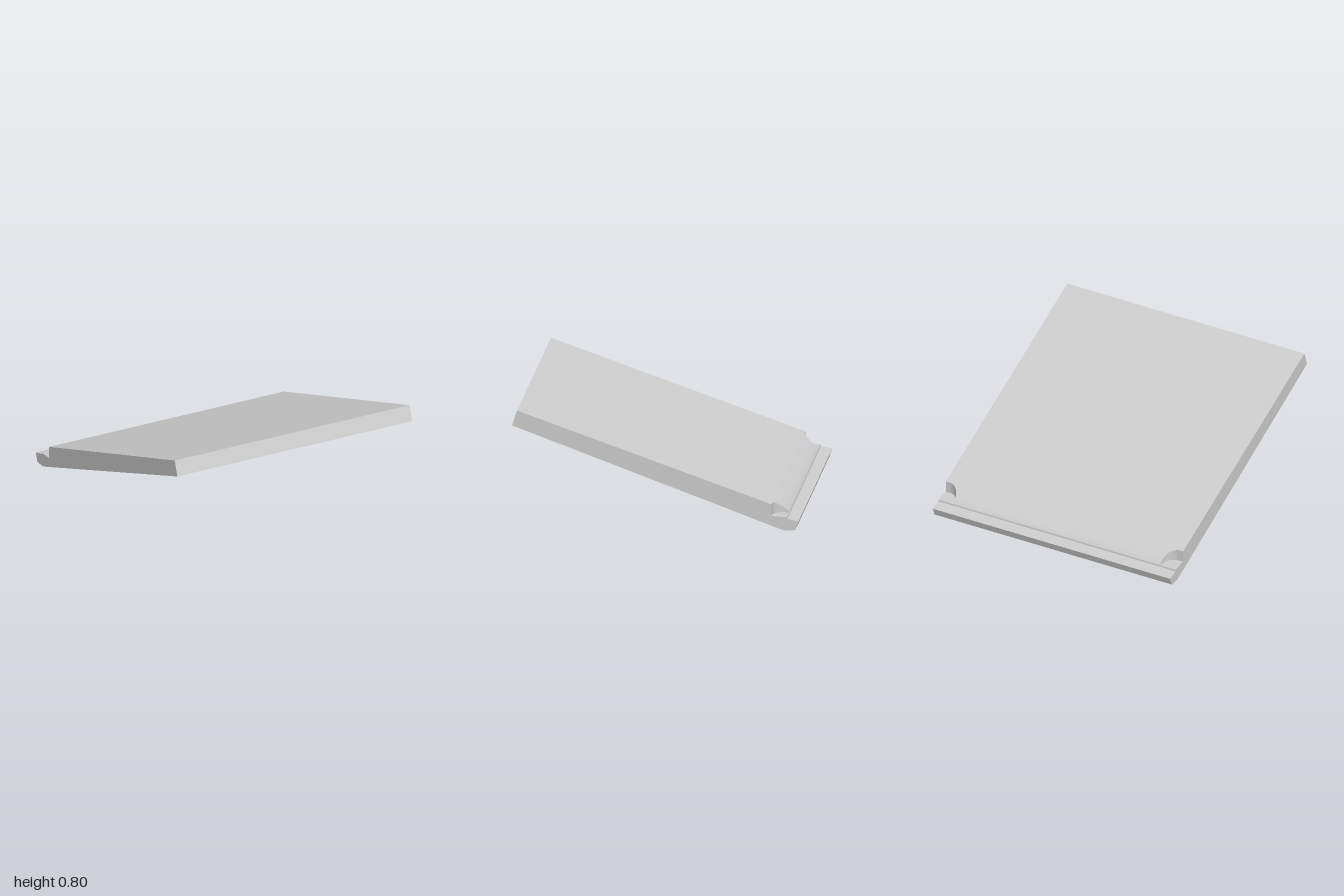
import * as THREE from 'three';
import { toCreasedNormals } from 'three/addons/utils/BufferGeometryUtils.js';

const HALF = 0.932; // half width of the slab

export function createModel() {
  const group = new THREE.Group();
  const material = new THREE.MeshStandardMaterial({ color: 0xcccccc });
  const add = (name, geometry) => {
    const mesh = new THREE.Mesh(geometry, material);
    mesh.name = name;
    group.add(mesh);
  };

  // Sloping slab with a stepped lip at its low rear edge: (z, y) profile drawn across the width
  const profile = [
    [1, 0.688], [0.963, 0.795], [-0.812, 0.184], [-0.812, 0.1],
    [-0.92, 0.095], [-0.922, 0.083], [-1, 0.066], [-0.98, 0.008],
    [-0.965, 0.002], [-0.895, 0],
  ];
  const shape = new THREE.Shape(profile.map(([z, y]) => new THREE.Vector2(z, y)));
  const slab = new THREE.ExtrudeGeometry(shape, { depth: HALF * 2, bevelEnabled: false });
  slab.rotateY(-Math.PI / 2).translate(HALF, 0, 0);
  add('slab', slab);

  // Curved rear slope, its ends scooped out to leave a rounded notch at each corner
  const steps = 16;
  const positions = [];
  const index = [];
  for (let i = 0; i <= steps; i++) {
    const t = (i / steps) * Math.PI / 2;
    const s = Math.sin(t);
    const z = -0.92 + 0.108 * s;
    const w = 0.81 + 0.09 * (1 - Math.cos(t));
    const top = 0.095 + 0.089 * Math.pow(s, 0.8);
    positions.push(w, 0.09, z, w, top, z, -w, top, z, -w, 0.09, z);
    if (i === steps) break;
    for (let j = 0; j < 3; j++) {
      const a = i * 4 + j;
      index.push(a, a + 1, a + 5, a, a + 5, a + 4);
    }
  }
  const slope = new THREE.BufferGeometry();
  slope.setAttribute('position', new THREE.Float32BufferAttribute(positions, 3));
  slope.setIndex(index);
  add('rearSlope', toCreasedNormals(slope, 0.5));

  return group;
}
